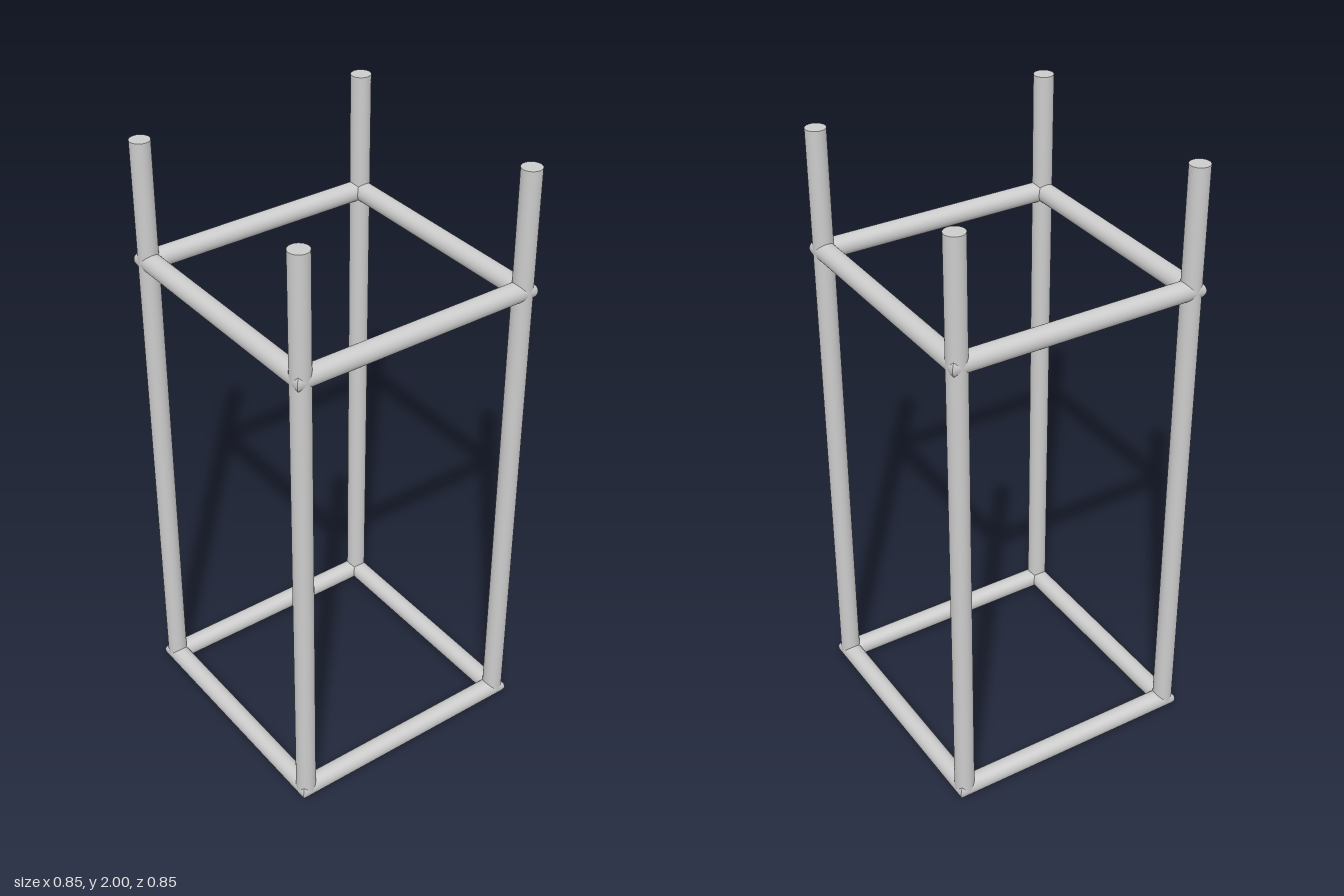
import * as THREE from 'three';

const R = 0.032;          // tube radius
const C = 0.392;          // tube centre line, distance from the middle
const SIDES = 32;

// Horizontal tube along x on the +z side, both ends mitred at 45 degrees
function railGeometry() {
  const g = new THREE.CylinderGeometry(R, R, 2 * C, SIDES, 1, true);
  const p = g.attributes.position;
  for (let i = 0; i < p.count; i++) {
    p.setY(i, Math.sign(p.getY(i)) * (C + p.getX(i)));
  }
  g.rotateZ(Math.PI / 2);
  g.rotateX(Math.PI / 2);   // the long side of the mitre now faces +z
  g.translate(0, 0, C);
  return g;
}

export function createModel() {
  const model = new THREE.Group();
  model.name = 'openFrame';
  const material = new THREE.MeshStandardMaterial({ color: 0xcccccc });

  // Four corner posts, rising from the centre line of the base ring
  const postGeometry = new THREE.CylinderGeometry(R, R, 2 - R, SIDES);
  for (const x of [-C, C]) {
    for (const z of [-C, C]) {
      const post = new THREE.Mesh(postGeometry, material);
      post.name = `${z > 0 ? 'front' : 'back'}${x > 0 ? 'Left' : 'Right'}Post`;
      post.position.set(x, 1 + R / 2, z);
      model.add(post);
    }
  }

  // Two square rings of mitred rails
  const rail = railGeometry();
  const sideNames = ['front', 'left', 'back', 'right'];
  for (const [name, y] of [['base', R], ['upper', 1.608]]) {
    const ring = new THREE.Group();
    ring.name = `${name}Ring`;
    ring.position.y = y;
    sideNames.forEach((side, k) => {
      const mesh = new THREE.Mesh(rail, material);
      mesh.name = `${name}${side[0].toUpperCase()}${side.slice(1)}Rail`;
      mesh.rotation.y = k * Math.PI / 2;
      ring.add(mesh);
    });
    model.add(ring);
  }
  return model;
}
